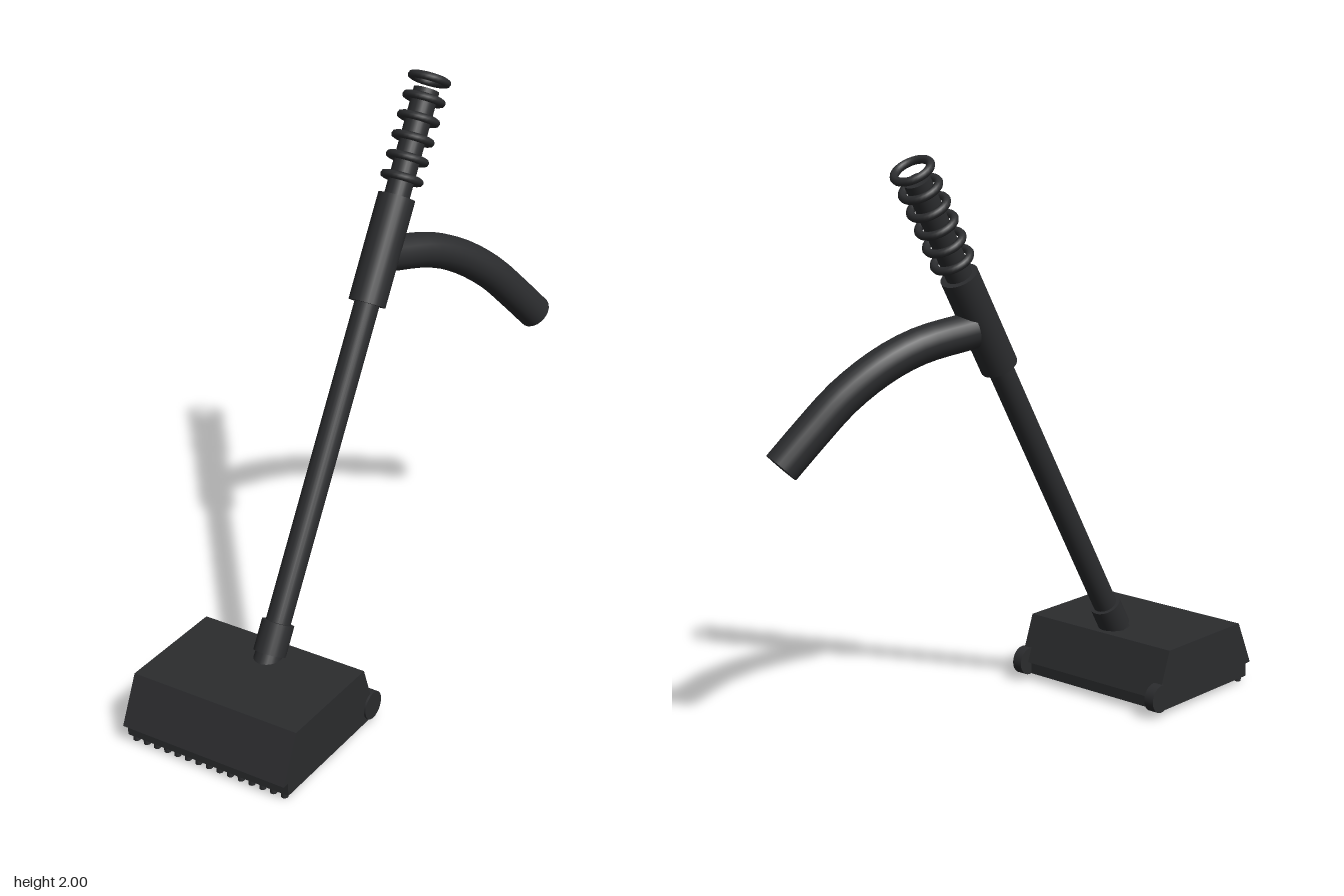
import * as THREE from 'three';

const material = new THREE.MeshStandardMaterial({ color: 0x2b2c2e });
const HALF = 0.318; // half width of the floor head

// Pole axis: leans back from the head towards -z
const LEAN = Math.atan(0.5907);
const axisPoint = (y) => new THREE.Vector3(0, y, 0.45 - 0.5907 * (y - 0.333));

function add(parent, name, geometry, x = 0, y = 0, z = 0) {
  const mesh = new THREE.Mesh(geometry, material);
  mesh.name = name;
  mesh.position.set(x, y, z);
  parent.add(mesh);
  return mesh;
}

// Cylinder along the pole axis between two heights
function axisCylinder(parent, name, y0, y1, rBottom, rTop) {
  const a = axisPoint(y0), b = axisPoint(y1);
  const mesh = add(parent, name, new THREE.CylinderGeometry(rTop, rBottom, a.distanceTo(b), 24));
  mesh.position.copy(a.add(b).multiplyScalar(0.5));
  mesh.rotation.x = -LEAN;
  return mesh;
}

function createHead() {
  const head = new THREE.Group();
  head.name = 'floorHead';

  // Sloped housing: side profile in (-z, y), extruded across x
  const profile = new THREE.Shape([
    [-0.905, 0.068], [-0.36, 0.068], [-0.42, 0.233], [-0.83, 0.233],
  ].map(([u, v]) => new THREE.Vector2(u, v)));
  const housing = new THREE.ExtrudeGeometry(profile, { depth: HALF * 2, bevelEnabled: false });
  housing.translate(0, 0, -HALF);
  housing.rotateY(Math.PI / 2);
  add(head, 'housing', housing);

  // Sole plate
  add(head, 'solePlate', new THREE.BoxGeometry(HALF * 2, 0.052, 0.5), 0, 0.046, 0.63);

  // Row of bristles along the front edge
  const bristle = new THREE.CylinderGeometry(0.012, 0.012, 0.05, 10);
  for (let i = 0; i < 15; i++) {
    add(head, 'bristle', bristle, -0.294 + i * 0.042, 0.025, 0.865);
  }

  // Rear wheels
  for (const side of [-1, 1]) {
    const wheel = new THREE.CylinderGeometry(0.05, 0.05, 0.038, 24);
    wheel.rotateZ(Math.PI / 2);
    add(head, 'wheel', wheel, side * 0.306, 0.07, 0.37);
  }
  return head;
}

function createGrip() {
  const grip = new THREE.Group();
  grip.name = 'grip';
  axisCylinder(grip, 'gripCore', 1.56, 1.925, 0.044, 0.044);
  // Ribs, the last one standing clear of the core as an open end ring
  const rib = new THREE.TorusGeometry(0.061, 0.014, 8, 28);
  rib.rotateX(Math.PI / 2);
  for (let i = 0; i < 6; i++) {
    const mesh = add(grip, i === 5 ? 'endRing' : 'gripRib', rib);
    mesh.position.copy(axisPoint(1.66 + i * 0.0592));
    mesh.rotation.x = -LEAN;
  }
  return grip;
}

function createHose() {
  const hose = new THREE.Group();
  hose.name = 'hose';
  const curve = new THREE.CatmullRomCurve3([
    [0, 1.42, -0.24], [0.065, 1.385, -0.42], [0.115, 1.33, -0.54],
    [0.17, 1.24, -0.66], [0.215, 1.135, -0.76], [0.256, 1.032, -0.852],
  ].map((p) => new THREE.Vector3(...p)));
  const radius = 0.061;
  add(hose, 'hoseTube', new THREE.TubeGeometry(curve, 16, radius, 20));
  // Flat caps closing both ends
  for (const t of [0, 1]) {
    const cap = add(hose, 'hoseCap', new THREE.CircleGeometry(radius, 20));
    const outward = curve.getTangentAt(t).multiplyScalar(t ? 1 : -1);
    cap.position.copy(curve.getPointAt(t));
    cap.quaternion.setFromUnitVectors(new THREE.Vector3(0, 0, 1), outward);
  }
  return hose;
}

export function createModel() {
  const model = new THREE.Group();
  model.name = 'vacuumWand';
  model.add(createHead());

  // Neck joint, pole and upper sleeve
  axisCylinder(model, 'neck', 0.2, 0.27, 0.05, 0.046);
  axisCylinder(model, 'collar', 0.24, 0.333, 0.056, 0.056);
  axisCylinder(model, 'pole', 0.22, 1.3, 0.043, 0.043);
  axisCylinder(model, 'sleeve', 1.285, 1.605, 0.064, 0.064);

  model.add(createGrip(), createHose());
  return model;
}
